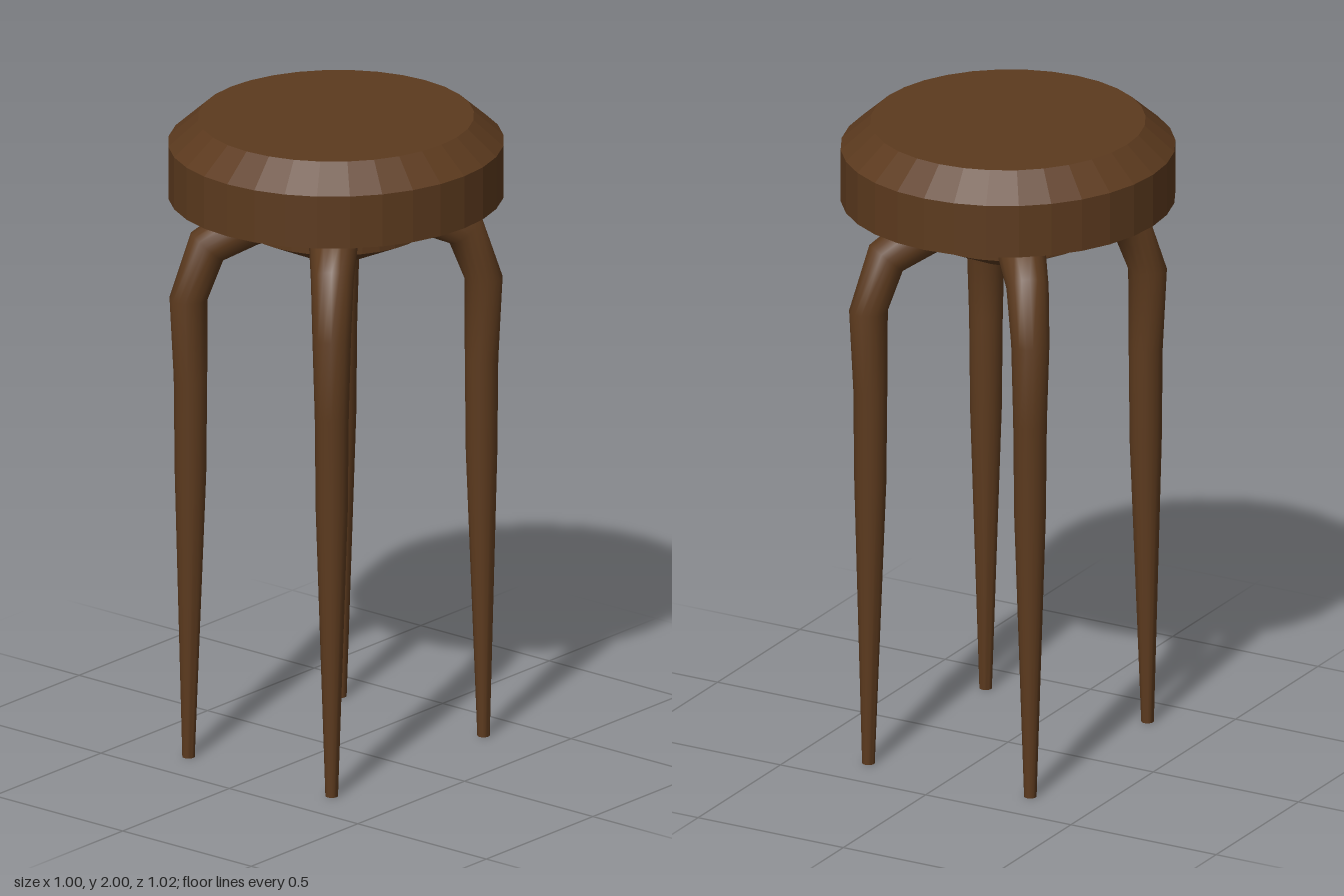
import * as THREE from 'three';
import { toCreasedNormals } from 'three/addons/utils/BufferGeometryUtils.js';

const SEGMENTS = 32;

// Faceted turned solid from [radius, y] points listed bottom to top
function turned(name, points, material) {
  const geometry = new THREE.LatheGeometry(points.map(([r, y]) => new THREE.Vector2(r, y)), SEGMENTS);
  const mesh = new THREE.Mesh(geometry, material);
  mesh.name = name;
  return mesh;
}

// Leg rings from hub to foot: distance from the axis, height, radius, tilt in degrees
const LEG_RINGS = [
  [0.17, 1.70, 0.07, 75],
  [0.275, 1.68, 0.073, 64],
  [0.395, 1.615, 0.064, 42],
  [0.452, 1.455, 0.058, 0],
  [0.446, 1.2, 0.051, 0],
  [0.446, 0.9, 0.048, 0],
  [0.452, 0, 0.019, 0],
];

// Bends a cylinder along the rings, in the upright plane at the given heading
function legGeometry(heading) {
  const rows = LEG_RINGS.length - 1;
  const geometry = new THREE.CylinderGeometry(1, 1, 1, 16, rows);
  const out = new THREE.Vector3(Math.cos(heading), 0, Math.sin(heading));
  const up = new THREE.Vector3(0, 1, 0);
  const side = new THREE.Vector3().crossVectors(out, up);
  const position = geometry.attributes.position;
  const p = new THREE.Vector3();
  for (let i = 0; i < position.count; i++) {
    const [distance, height, radius, tilt] = LEG_RINGS[Math.round((0.5 - position.getY(i)) * rows)];
    const a = THREE.MathUtils.degToRad(tilt);
    const across = position.getX(i) * radius;
    const along = position.getZ(i) * radius;
    p.set(0, 0, 0)
      .addScaledVector(out, distance + across * Math.cos(a))
      .addScaledVector(up, height + across * Math.sin(a))
      .addScaledVector(side, along);
    position.setXYZ(i, p.x, p.y, p.z);
  }
  return toCreasedNormals(geometry, 0.8);
}

export function createModel() {
  const stool = new THREE.Group();
  stool.name = 'stool';
  const facetedWood = new THREE.MeshStandardMaterial({ color: 0x5c3a1e, flatShading: true });
  const smoothWood = new THREE.MeshStandardMaterial({ color: 0x5c3a1e });

  // Round seat with a bevelled top edge, very slightly deeper than wide
  const seat = turned('seat', [[0, 1.755], [0.505, 1.755], [0.505, 1.92], [0.415, 2], [0, 2]], facetedWood);
  seat.scale.set(0.99, 1, 1.01);

  // Hub under the seat, tapering to a flat bottom
  const hub = turned('hub', [[0, 1.575], [0.11, 1.575], [0.28, 1.655], [0.28, 1.76]], facetedWood);
  stool.add(seat, hub);

  // Four bent, tapering legs
  const angle = Math.atan2(0.355, 0.278);
  const headings = {
    frontLeftLeg: angle,
    frontRightLeg: Math.PI - angle,
    backRightLeg: Math.PI + angle,
    backLeftLeg: -angle,
  };
  for (const [name, heading] of Object.entries(headings)) {
    const leg = new THREE.Mesh(legGeometry(heading), smoothWood);
    leg.name = name;
    stool.add(leg);
  }
  return stool;
}
